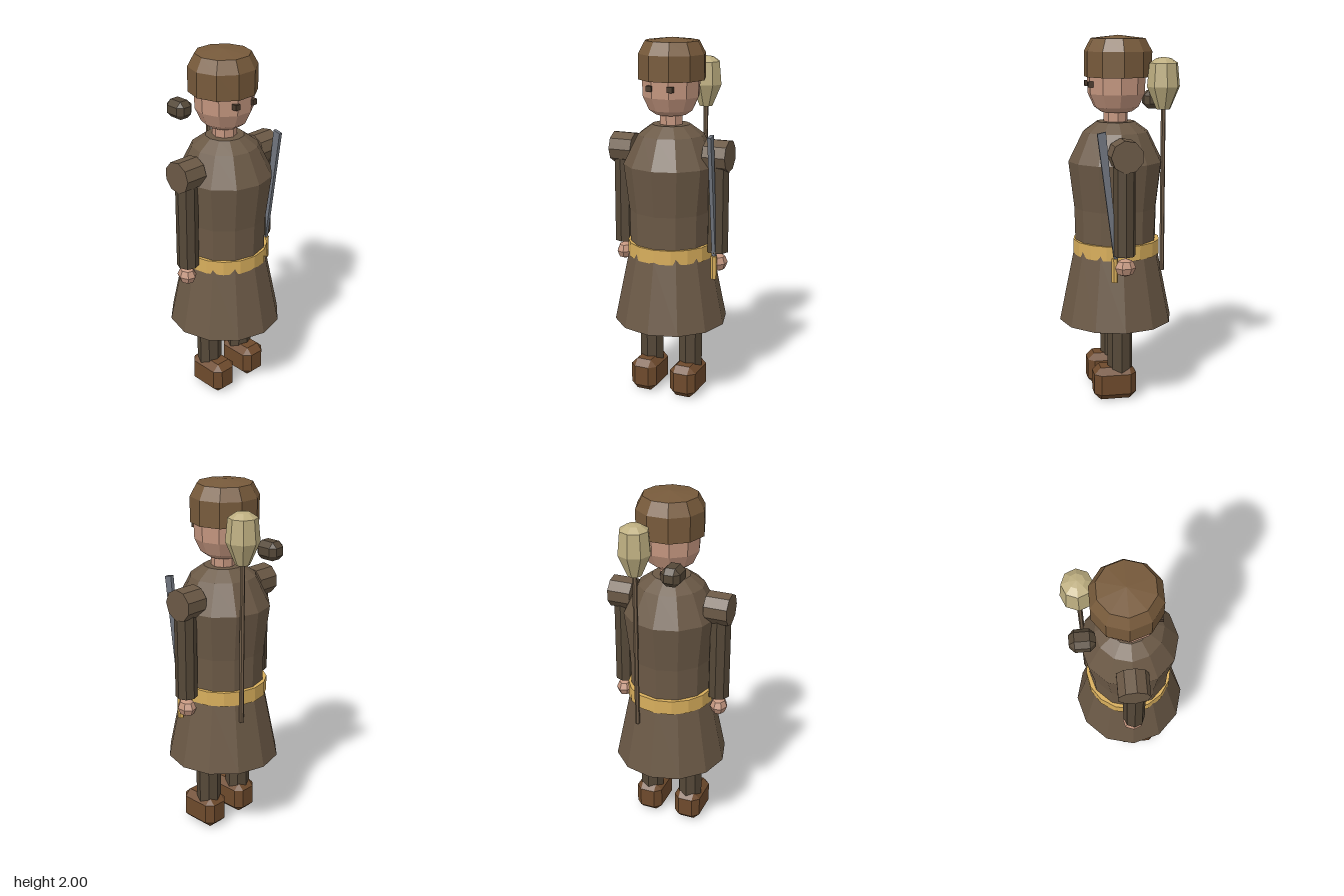
import * as THREE from 'three';
import { ConvexGeometry } from 'three/addons/geometries/ConvexGeometry.js';

const mat = (color) => new THREE.MeshStandardMaterial({ color, flatShading: true });
const M = {
  coat: mat(0x6b5946), dark: mat(0x554838), hat: mat(0x775a3b), skin: mat(0xc4967f),
  gold: mat(0xd8ae5c), boot: mat(0x6e4a2c), club: mat(0xbdae80), pole: mat(0x6f5c48),
  steel: mat(0x70757e), eye: mat(0x4a3a2c),
};

export function createModel() {
  const model = new THREE.Group();
  model.name = 'figure';

  const add = (name, geometry, material, x = 0, y = 0, z = 0) => {
    const mesh = new THREE.Mesh(geometry, material);
    mesh.name = name;
    mesh.position.set(x, y, z);
    model.add(mesh);
    return mesh;
  };
  // Turned shape from [radius, height] pairs, bottom to top
  const turned = (profile, sides, start = 0) =>
    new THREE.LatheGeometry(profile.map(([r, y]) => new THREE.Vector2(r, y)), sides, start);
  // Box with every edge and corner bevelled by k
  const bevelled = (w, h, d, k) => {
    const points = [];
    for (const sx of [-1, 1]) for (const sy of [-1, 1]) for (const sz of [-1, 1]) {
      const [a, b, c] = [w / 2, h / 2, d / 2];
      points.push(
        new THREE.Vector3(sx * a, sy * (b - k), sz * (c - k)),
        new THREE.Vector3(sx * (a - k), sy * b, sz * (c - k)),
        new THREE.Vector3(sx * (a - k), sy * (b - k), sz * c));
    }
    return new ConvexGeometry(points);
  };

  // Long coat and belt
  add('coat', turned([[0, 0.43], [0.316, 0.43], [0.236, 0.82], [0.225, 0.89], [0.229, 1.07],
    [0.26, 1.325], [0.18, 1.485], [0.105, 1.54], [0, 1.54]], 12), M.coat, 0, 0, 0.007);
  add('belt', new THREE.CylinderGeometry(0.24, 0.24, 0.08, 16), M.gold, 0, 0.85, 0.003);

  // Neck, head and cap
  add('neck', new THREE.CylinderGeometry(0.066, 0.066, 0.1, 8), M.skin, 0, 1.57, 0.005);
  add('head', turned([[0, 1.59], [0.085, 1.592], [0.122, 1.618], [0.156, 1.69],
    [0.16, 1.78], [0.14, 1.86], [0, 1.9]], 10, Math.PI / 10), M.skin, 0, 0, 0.003);
  add('cap', turned([[0, 1.78], [0.185, 1.78], [0.185, 1.915], [0.148, 1.983], [0, 2]],
    10, Math.PI / 10), M.hat, 0, 0, -0.007);
  add('hairKnot', bevelled(0.106, 0.1, 0.132, 0.028), M.dark, -0.106, 1.645, -0.234);

  // Mirrored parts
  for (const s of [1, -1]) {
    const side = s > 0 ? 'left' : 'right';
    add(side + 'Eye', new THREE.BoxGeometry(0.03, 0.03, 0.03), M.eye, s * 0.06, 1.743, 0.152);
    add(side + 'Leg', new THREE.CylinderGeometry(0.07, 0.07, 0.32, 8), M.dark, s * 0.12, 0.31, 0.005);
    add(side + 'Boot', bevelled(0.155, 0.185, 0.235, 0.036), M.boot, s * 0.12, 0.0925, 0.037);
    add(side + 'Arm', new THREE.CylinderGeometry(0.06, 0.06, 0.53, 8), M.dark, s * 0.28, 1.12, 0.01);
    add(side + 'Shoulder', new THREE.CylinderGeometry(0.087, 0.087, 0.13, 9), M.coat,
      s * 0.276, 1.388, 0.003).rotation.z = Math.PI / 2;
    add(side + 'Hand', new THREE.SphereGeometry(1, 7, 4), M.skin, s * 0.285, 0.79, 0.005)
      .scale.set(0.048, 0.05, 0.058);
  }

  // Sword: tapered blade profile drawn as (z, y), then turned to lie in the side plane
  const blade = new THREE.Shape([[-0.153, 1.505], [-0.065, 0.83], [-0.045, 0.84], [-0.108, 1.515]]
    .map(([z, y]) => new THREE.Vector2(z, y)));
  add('swordBlade', new THREE.ExtrudeGeometry(blade, { depth: 0.02, bevelEnabled: false }),
    M.steel, 0.268, 0, 0).rotation.y = Math.PI / 2;
  add('swordGrip', new THREE.CylinderGeometry(0.018, 0.018, 0.13, 6), M.gold, 0.278, 0.775, 0.06);

  // Club on a long pole behind the back
  add('clubPole', new THREE.CylinderGeometry(0.013, 0.013, 0.92, 6), M.pole, 0.105, 1.18, -0.235);
  add('clubHead', turned([[0, 1.61], [0.038, 1.61], [0.09, 1.73], [0.078, 1.855],
    [0.04, 1.88], [0, 1.886]], 8), M.club, 0.105, 0, -0.235);

  return model;
}
